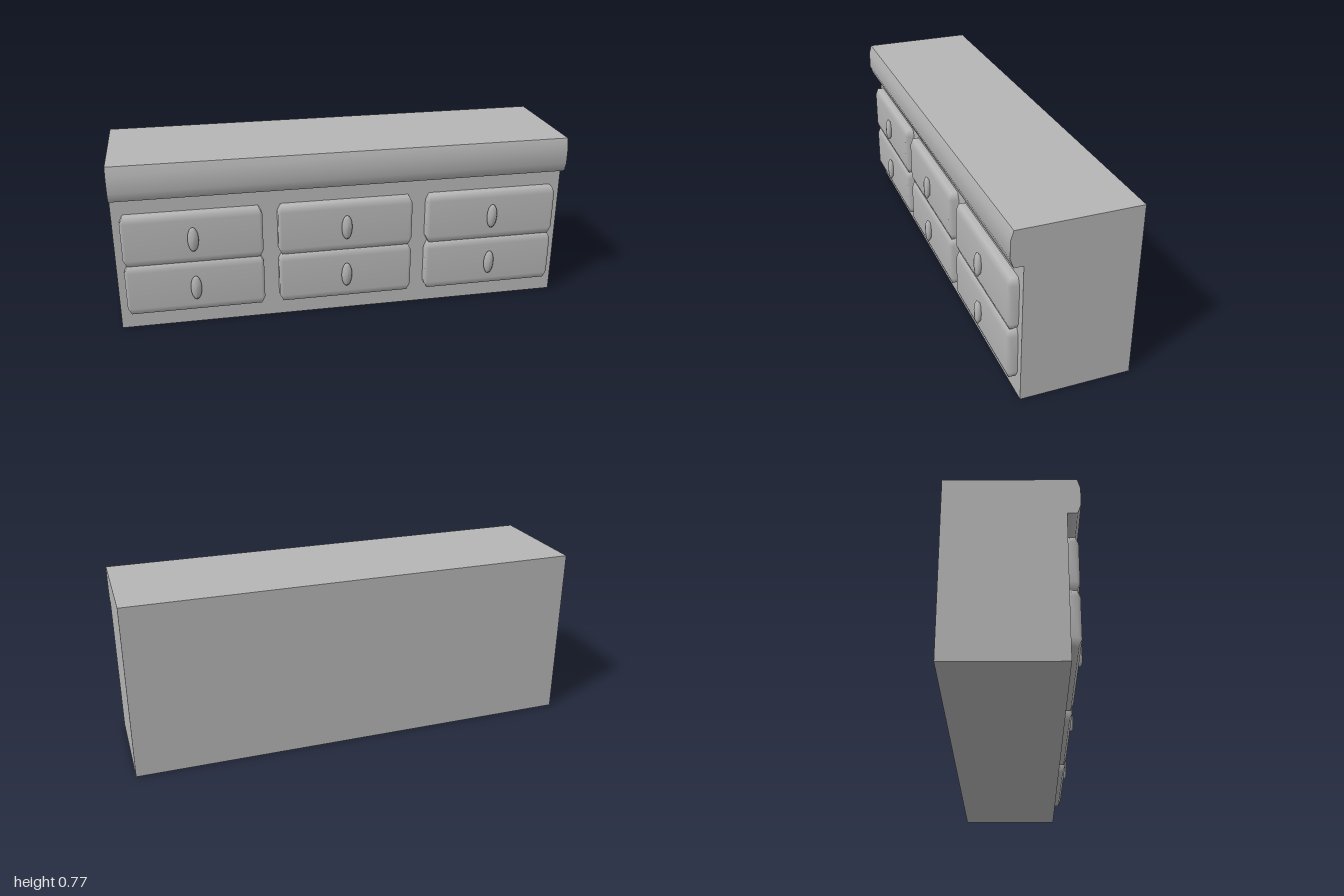
import * as THREE from 'three';
import { toCreasedNormals } from 'three/addons/utils/BufferGeometryUtils.js';

// Cabinet side profile (z, y) with the overhanging counter lip, swept across the width
function cabinetGeometry() {
  const profile = [
    [-0.268, 0], [0.205, 0], [0.205, 0.615], [0.244, 0.615],
    [0.258, 0.655], [0.258, 0.73], [0.246, 0.77], [-0.268, 0.77],
  ].map(([z, y]) => new THREE.Vector2(z, y));
  const geo = new THREE.ExtrudeGeometry(new THREE.Shape(profile), { depth: 2, bevelEnabled: false });
  geo.rotateY(-Math.PI / 2);
  geo.translate(1, 0, 0);
  return toCreasedNormals(geo, 1.257);
}

// Drawer front: outline with clipped corners, tapering to a raised face
function drawerGeometry(w, h) {
  const cx = 0.015, cy = 0.03;
  const ring = (a, b, z) => [
    [a, -b + cy, z], [a, b - cy, z], [a - cx, b, z], [-a + cx, b, z],
    [-a, b - cy, z], [-a, -b + cy, z], [-a + cx, -b, z], [a - cx, -b, z],
  ];
  const x = w - cx, y = h - cy;
  const face = [[x, -y, 0.247], [x, y, 0.247], [-x, y, 0.247], [-x, -y, 0.247]];
  const verts = [...ring(w, h, 0.205), ...ring(w, h, 0.235), ...face];
  const index = [];
  for (let i = 0; i < 8; i++) {
    const j = (i + 1) % 8;
    index.push(i, j, 8 + j, i, 8 + j, 8 + i); // side wall
    const a = 16 + (Math.floor((i + 1) / 2) % 4), b = 16 + (Math.floor((j + 1) / 2) % 4);
    index.push(8 + i, 8 + j, b); // bevel
    if (a !== b) index.push(8 + i, b, a);
  }
  index.push(16, 17, 18, 16, 18, 19);
  const geo = new THREE.BufferGeometry();
  geo.setAttribute('position', new THREE.Float32BufferAttribute(verts.flat(), 3));
  geo.setIndex(index);
  geo.computeVertexNormals();
  return geo;
}

// Oval knob turned about z and squeezed sideways
function knobGeometry() {
  const profile = [[0.8, 0.244], [0.8, 0.249], [1, 0.257], [0.75, 0.266], [0, 0.268]]
    .map(([r, z]) => new THREE.Vector2(r, z));
  const geo = new THREE.LatheGeometry(profile, 16);
  geo.rotateX(Math.PI / 2);
  geo.scale(0.024, 0.057, 1);
  geo.computeVertexNormals();
  return geo;
}

export function createModel() {
  const grey = new THREE.MeshStandardMaterial({ color: 0xb5b5b5 });
  grey.name = 'grey';
  const model = new THREE.Group();
  model.name = 'drawerCabinet';

  const add = (name, geo, x, y) => {
    const mesh = new THREE.Mesh(geo, grey);
    mesh.name = name;
    mesh.position.set(x, y, 0);
    model.add(mesh);
  };

  add('cabinetWithCounter', cabinetGeometry(), 0, 0);

  // Three columns of two drawers, each with a knob
  const drawer = drawerGeometry(0.3, 0.115);
  const knob = knobGeometry();
  for (const x of [-0.667, 0, 0.667]) {
    for (const y of [0.195, 0.425]) {
      add('drawerFront', drawer, x, y);
      add('drawerKnob', knob, x, y);
    }
  }
  return model;
}
